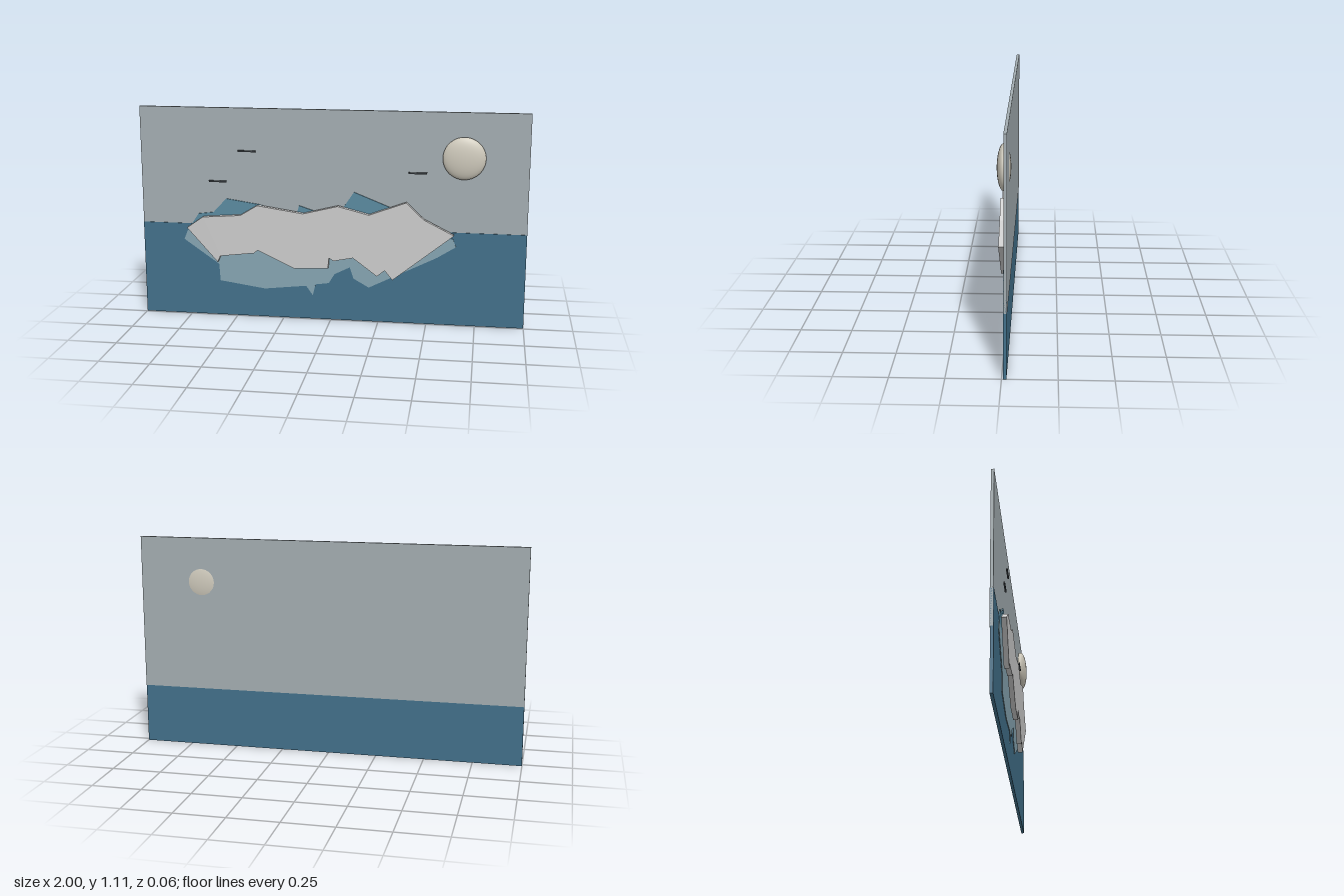
import * as THREE from 'three';

const paint = (color) => new THREE.MeshStandardMaterial({ color });

function addMesh(group, name, geometry, color, x = 0, y = 0, z = 0) {
  const mesh = new THREE.Mesh(geometry, paint(color));
  mesh.name = name;
  mesh.position.set(x, y, z);
  group.add(mesh);
  return mesh;
}

// Flat cut-out from an outline, spanning back to front in z
function addCutout(group, name, outline, color, back, front) {
  const shape = new THREE.Shape(outline.map(([x, y]) => new THREE.Vector2(x, y)));
  const geometry = new THREE.ExtrudeGeometry(shape, { depth: front - back, bevelEnabled: false });
  return addMesh(group, name, geometry, color, 0, 0, back);
}

export function createModel() {
  const group = new THREE.Group();
  group.name = 'icebergScene';

  // Backdrop: the sky panel overlaps behind the sea panel
  addMesh(group, 'sky', new THREE.BoxGeometry(2, 0.8, 0.015), 0xa3adb1, 0, 0.71, -0.0175);
  addMesh(group, 'sea', new THREE.BoxGeometry(2, 0.495, 0.015), 0x42708a, 0, 0.2475, -0.0145);

  // Flattened sun
  const sun = addMesh(group, 'sun', new THREE.SphereGeometry(0.108, 40, 24), 0xcfcabc, 0.675, 0.88, 0);
  sun.scale.z = 0.3;

  // Distant peaks rising behind the iceberg
  addCutout(group, 'distantPeaks', [
    [-0.76, 0.46], [-0.70, 0.55], [-0.62, 0.56], [-0.55, 0.635], [-0.38, 0.61],
    [-0.18, 0.56], [-0.165, 0.61], [-0.07, 0.58], [0.06, 0.60], [0.12, 0.69],
    [0.31, 0.615], [0.46, 0.56], [0.63, 0.46],
  ], 0x5a8aa0, -0.009, -0.003);

  // Pale reflection below the waterline
  addCutout(group, 'reflection', [
    [-0.76, 0.46], [-0.78, 0.41], [-0.595, 0.28], [-0.59, 0.19], [-0.35, 0.155],
    [-0.13, 0.18], [-0.095, 0.13], [-0.08, 0.19], [-0.01, 0.2], [0.02, 0.25],
    [0.1, 0.29], [0.12, 0.23], [0.2, 0.185], [0.31, 0.24], [0.55, 0.36],
    [0.645, 0.42], [0.63, 0.46],
  ], 0x86a5b2, -0.009, -0.003);

  // Iceberg in front
  addCutout(group, 'iceberg', [
    [-0.755, 0.48], [-0.67, 0.54], [-0.47, 0.555], [-0.38, 0.61], [-0.14, 0.575],
    [0.04, 0.62], [0.2, 0.58], [0.39, 0.65], [0.48, 0.565], [0.635, 0.487],
    [0.325, 0.24], [0.285, 0.29], [0.245, 0.257], [0.12, 0.35], [0.02, 0.33],
    [-0.005, 0.345], [-0.01, 0.288], [-0.185, 0.28], [-0.38, 0.372], [-0.4, 0.355],
    [-0.58, 0.333], [-0.595, 0.3],
  ], 0xcccccc, 0.004, 0.029);

  // Far-off birds as thin dark bars
  for (const [x, y] of [[-0.435, 0.89], [-0.59, 0.728], [0.445, 0.8]]) {
    addMesh(group, 'bird', new THREE.BoxGeometry(0.093, 0.008, 0.008), 0x3c4146, x, y, 0.007);
  }
  return group;
}
